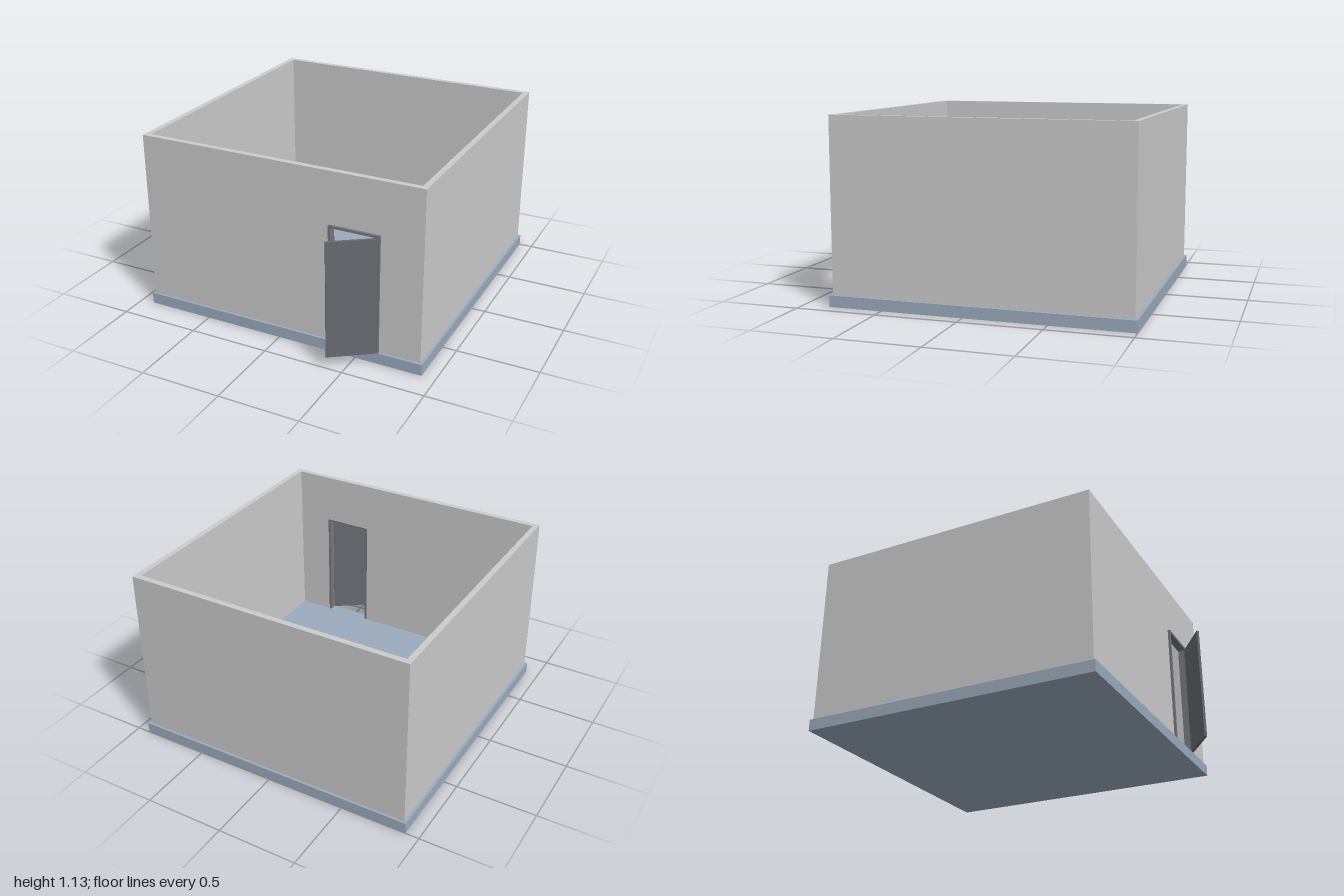
import * as THREE from 'three';

const FLOOR = 0.07, TOP = 1.13;            // floor surface and wall top
const X = 0.9, BACK = -0.985, FRONT = 0.815, T = 0.035; // wall outline and thickness
const DOOR = { x0: 0.33, x1: 0.645, top: 0.81, trim: 0.015 };

const material = (color) => new THREE.MeshStandardMaterial({ color, flatShading: true });

function polygon(points) {
  return new THREE.Shape(points.map(([x, y]) => new THREE.Vector2(x, y)));
}

function extruded(name, points, depth, mat) {
  const geometry = new THREE.ExtrudeGeometry(polygon(points), { depth, bevelEnabled: false });
  const mesh = new THREE.Mesh(geometry, mat);
  mesh.name = name;
  return mesh;
}

function box(name, w, h, d, x, y, z, mat) {
  const mesh = new THREE.Mesh(new THREE.BoxGeometry(w, h, d), mat);
  mesh.name = name;
  mesh.position.set(x, y, z);
  return mesh;
}

export function createModel() {
  const model = new THREE.Group();
  model.name = 'roomWithDoor';
  const wallMat = material(0xcccccc);
  const floorMat = material(0x9aacbd);
  const frameMat = material(0x77787d);
  const doorMat = material(0x676b70);

  // Floor slab, slightly wider than the walls
  model.add(box('floorSlab', 1.83, FLOOR, 1.83, 0, FLOOR / 2, -0.085, floorMat));

  // Back and side walls: a U-shaped plan raised to full height
  const inner = FRONT - T;
  const walls = extruded('backAndSideWalls', [
    [-X, -inner], [-X, -BACK], [X, -BACK], [X, -inner],
    [X - T, -inner], [X - T, -BACK - T], [-X + T, -BACK - T], [-X + T, -inner],
  ], TOP - FLOOR, wallMat);
  walls.rotation.x = -Math.PI / 2;
  walls.position.y = FLOOR;
  model.add(walls);

  // Front wall with the doorway notched out of its lower edge
  const { x0, x1, top, trim } = DOOR;
  const frontWall = extruded('frontWall', [
    [-X, FLOOR], [x0, FLOOR], [x0, top], [x1, top], [x1, FLOOR],
    [X, FLOOR], [X, TOP], [-X, TOP],
  ], T, wallMat);
  frontWall.position.z = inner;
  model.add(frontWall);

  // Door frame lining the opening and standing proud of the wall
  const frame = extruded('doorFrame', [
    [x0, FLOOR], [x0 + trim, FLOOR], [x0 + trim, top - trim], [x1 - trim, top - trim],
    [x1 - trim, FLOOR], [x1, FLOOR], [x1, top], [x0, top],
  ], 0.05, frameMat);
  frame.position.z = inner;
  model.add(frame);

  // Door leaf standing open on its hinge
  const hinge = new THREE.Group();
  hinge.name = 'door';
  hinge.position.set(x1 - trim, FLOOR, 0.83);
  hinge.rotation.y = THREE.MathUtils.degToRad(35);
  const height = top - trim - FLOOR, width = x1 - x0 - 2 * trim;
  hinge.add(box('doorLeaf', width, height, 0.015, -width / 2, height / 2, 0, doorMat));
  model.add(hinge);

  return model;
}
